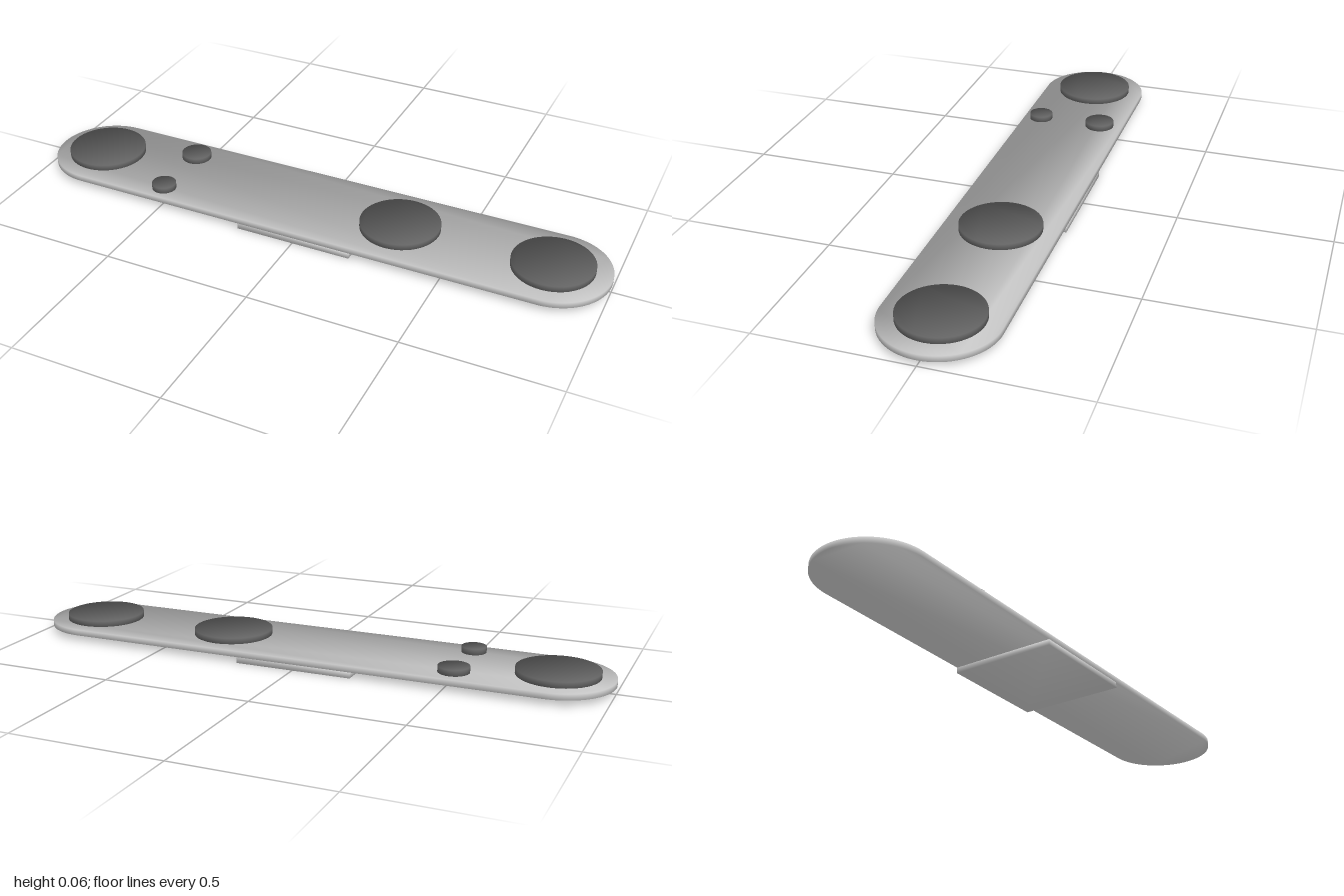
import * as THREE from 'three';

const T = 0.02; // thickness of every layer
const W = 0.184; // half width of the bar

// Flat slab from an outline, its normals blended softly over the rim
function slab(name, shape, y, color) {
  const geo = new THREE.ExtrudeGeometry(shape, { depth: T, bevelEnabled: false, curveSegments: 24 });
  geo.rotateX(-Math.PI / 2);
  geo.translate(0, y, 0);
  const pos = geo.attributes.position, nor = geo.attributes.normal;
  const key = (a, i) => [a.getX(i), a.getY(i), a.getZ(i)].map(v => Math.round(v * 1e4)).join();
  const corners = new Map();
  for (let i = 0; i < pos.count; i++) {
    const k = key(pos, i);
    if (!corners.has(k)) corners.set(k, new Map());
    corners.get(k).set(key(nor, i), new THREE.Vector3().fromBufferAttribute(nor, i));
  }
  for (let i = 0; i < pos.count; i++) {
    const sum = new THREE.Vector3();
    corners.get(key(pos, i)).forEach(n => sum.add(n));
    sum.normalize();
    nor.setXYZ(i, sum.x, sum.y, sum.z);
  }
  const mesh = new THREE.Mesh(geo, new THREE.MeshStandardMaterial({ color }));
  mesh.name = name;
  return mesh;
}

// Outline with straight long sides and round ends
function stadium() {
  const s = new THREE.Shape();
  const c = 1 - W;
  s.absarc(c, 0, W, -Math.PI / 2, Math.PI / 2);
  s.absarc(-c, 0, W, Math.PI / 2, Math.PI * 1.5);
  s.closePath();
  return s;
}

function rectangle(hx, hz) {
  return new THREE.Shape([[-hx, -hz], [hx, -hz], [hx, hz], [-hx, hz]].map(p => new THREE.Vector2(...p)));
}

function disc(name, x, z, r) {
  const mesh = slab(name, new THREE.Shape().absarc(0, 0, r, 0, Math.PI * 2), 2 * T, 0x666666);
  mesh.position.set(x, 0, z);
  return mesh;
}

export function createModel() {
  const model = new THREE.Group();
  model.name = 'sensorBar';

  // Mounting pad under the middle, then the long bar
  model.add(slab('mountingPad', rectangle(0.2, W), 0, 0xcccccc));
  model.add(slab('bar', stadium(), T, 0xcccccc));

  // Three large and two small discs on the upper face
  model.add(
    disc('rightLargeDisc', -0.82, 0, 0.133),
    disc('middleLargeDisc', 0.302, 0, 0.133),
    disc('leftLargeDisc', 0.813, 0, 0.133),
    disc('rearSmallDisc', -0.515, -0.101, 0.051),
    disc('frontSmallDisc', -0.515, 0.122, 0.041),
  );
  return model;
}
